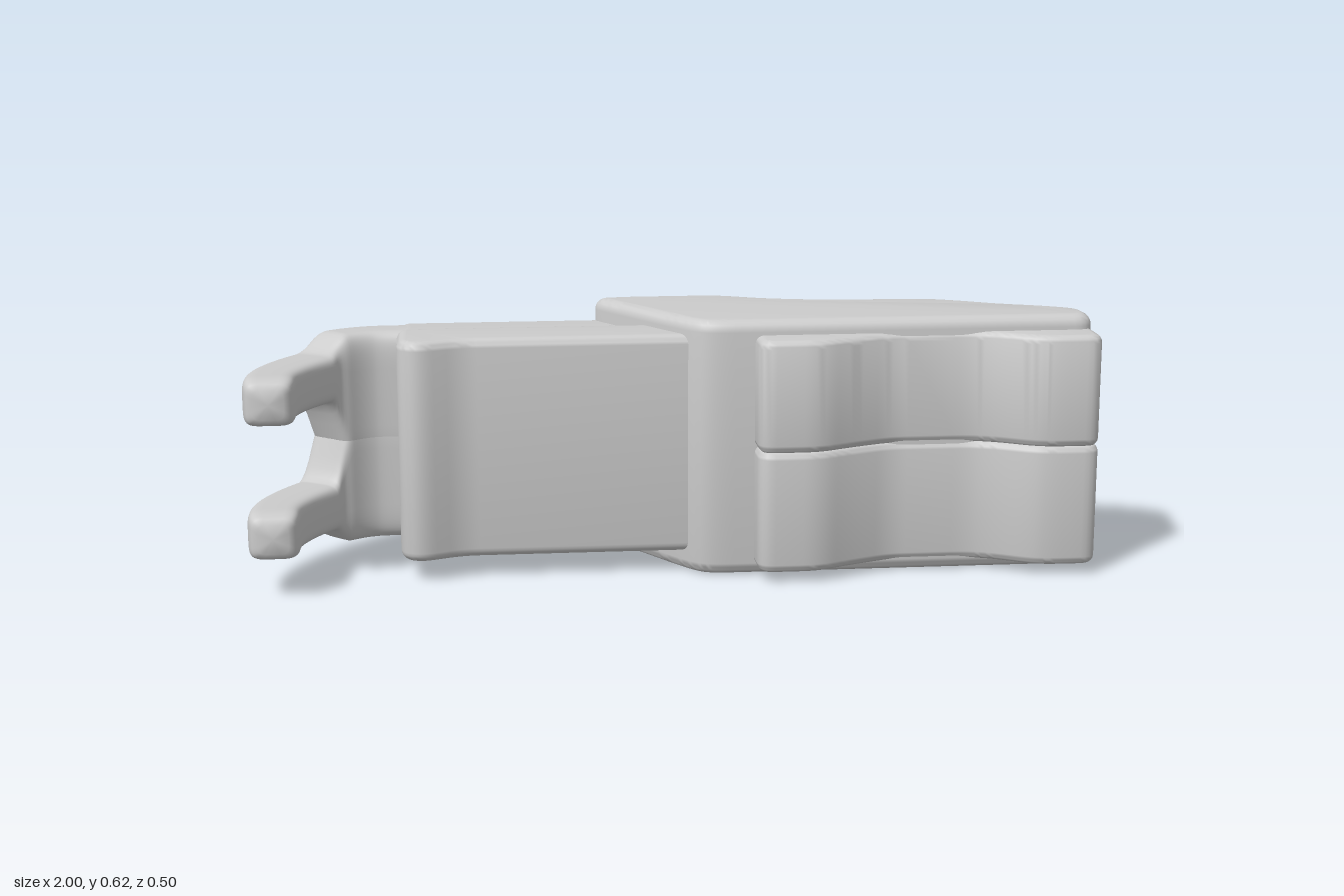
import * as THREE from 'three';
import { mergeVertices, toCreasedNormals } from 'three/addons/utils/BufferGeometryUtils.js';

const material = new THREE.MeshStandardMaterial({ color: 0xcccccc });

// Closed outline of [x, z] corners, each softened by a curve of at most `cut`
function roundedOutline(corners, cut) {
  const pts = corners.map(([x, z]) => new THREE.Vector2(x, -z));
  if (THREE.ShapeUtils.area(pts) < 0) pts.reverse();
  const shape = new THREE.Shape();
  const n = pts.length;
  pts.forEach((p, i) => {
    const toward = (q) => {
      const d = p.distanceTo(q);
      return p.clone().lerp(q, Math.min(cut, d * 0.45) / d);
    };
    const a = toward(pts[(i + n - 1) % n]);
    const b = toward(pts[(i + 1) % n]);
    if (i === 0) shape.moveTo(a.x, a.y);
    else shape.lineTo(a.x, a.y);
    shape.quadraticCurveTo(p.x, p.y, b.x, b.y);
  });
  shape.closePath();
  return shape;
}

// Plan outline raised from y0 to y1 with soft edges
function slab(name, corners, y0, y1, bevel, cut = bevel * 1.7) {
  let geo = new THREE.ExtrudeGeometry(roundedOutline(corners, cut), {
    depth: y1 - y0 - 2 * bevel, curveSegments: 6, bevelEnabled: true,
    bevelSize: bevel, bevelThickness: bevel, bevelOffset: -bevel, bevelSegments: 5,
  });
  geo.rotateX(-Math.PI / 2).translate(0, y0 + bevel, 0);
  geo = toCreasedNormals(geo, 0.7);
  const mesh = new THREE.Mesh(geo, material);
  mesh.name = name;
  return mesh;
}

// Half of the fork: a wide root that narrows into one curved prong
function prong(name, side) {
  const path = new THREE.CatmullRomCurve3([
    [-0.5, -0.165], [-0.62, -0.165], [-0.725, -0.158], [-0.8, -0.115], [-0.86, -0.04],
    [-0.91, 0.05], [-0.935, 0.13], [-0.938, 0.245],
  ].map(([x, z]) => new THREE.Vector3(x, 0, z)));
  let geo = new THREE.CylinderGeometry(1, 1, 1, 48, 64);
  geo.deleteAttribute('uv');
  geo.deleteAttribute('normal');
  const pos = geo.attributes.position;
  const square = (v) => Math.sign(v) * Math.pow(Math.abs(v), 0.4);
  for (let i = 0; i < pos.count; i++) {
    const t = THREE.MathUtils.clamp(pos.getY(i) + 0.5, 0, 1);
    const p = path.getPointAt(t);
    const d = path.getTangentAt(t);
    const k = THREE.MathUtils.smoothstep(t, 0.43, 0.55);
    const inner = THREE.MathUtils.lerp(-0.06, 0.1, k);
    const outer = THREE.MathUtils.lerp(0.257, 0.214, k);
    const e = Math.max(0, (t - 0.91) / 0.09);
    const round = 0.6 + 0.4 * Math.sqrt(1 - e * e);
    const half = ((outer - inner) / 2) * round;
    const thick = THREE.MathUtils.lerp(0.066, 0.06, t) * round * (1 - 0.16 * Math.sin(Math.PI * k) * k);
    const w = square(pos.getZ(i)) * thick;
    const y = 0.303 + side * (inner + outer) / 2 + square(pos.getX(i)) * half;
    pos.setXYZ(i, p.x + d.z * w, y, p.z - d.x * w);
  }
  geo = mergeVertices(geo, 1e-5);
  geo.computeVertexNormals();
  const mesh = new THREE.Mesh(geo, material);
  mesh.name = name;
  return mesh;
}

export function createModel() {
  const group = new THREE.Group();
  group.name = 'clip';

  // Full-height body with a slanted left edge and a stepped back
  group.add(slab('mainBody', [
    [-0.175, -0.225], [-0.11, -0.25], [0.14, -0.25], [0.26, -0.19], [0.41, -0.155],
    [0.64, -0.15], [0.71, -0.12], [0.82, -0.055], [0.9, -0.025], [0.995, 0.03],
    [0.995, 0.14], [0.09, 0.14], [0.045, 0.12], [-0.005, 0.05], [-0.14, -0.165],
  ], 0, 0.615, 0.028));

  // Raised front pads, split by a shallow groove at mid height
  const pad = [
    [0.185, 0.05], [0.185, 0.225], [0.33, 0.225], [0.41, 0.185], [0.51, 0.144], [0.7, 0.144],
    [0.76, 0.165], [0.84, 0.215], [0.89, 0.225], [0.998, 0.225], [0.998, 0.05],
  ];
  group.add(slab('lowerFrontPad', pad, 0.025, 0.318, 0.02, 0.04));
  group.add(slab('upperFrontPad', pad, 0.312, 0.58, 0.02, 0.04));

  // Connecting block and its slightly taller front panel with a lip
  group.add(slab('connectingBlock', [
    [-0.645, -0.23], [0.1, -0.23], [0.1, 0.08], [-0.645, 0.08],
  ], 0.05, 0.56, 0.02));
  group.add(slab('frontPanel', [
    [-0.65, -0.06], [-0.65, 0.115], [-0.6, 0.142], [-0.5, 0.1], [0.15, 0.1], [0.15, -0.06],
  ], 0.05, 0.577, 0.022));

  // Forked hook
  group.add(prong('lowerProng', -1));
  group.add(prong('upperProng', 1));
  return group;
}
